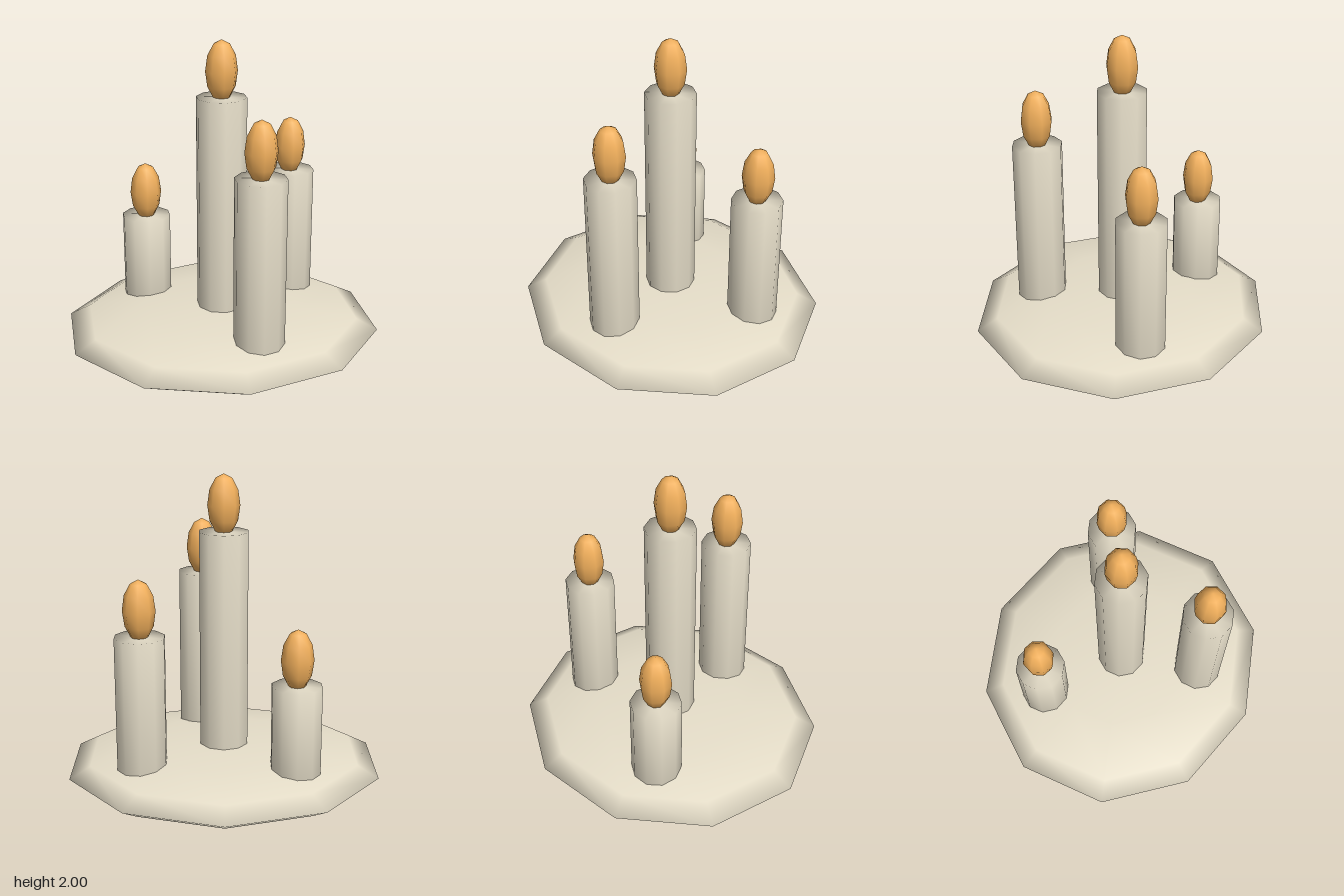
import * as THREE from 'three';

const wax = new THREE.MeshStandardMaterial({ color: 0xe6dec9 });
const fire = new THREE.MeshStandardMaterial({ color: 0xf2b05c });

// Low-poly ellipsoid with smooth normals and a corner facing +z
function ellipsoid(name, material, sides, rx, ry, rz) {
  const geometry = new THREE.SphereGeometry(1, sides, 6).rotateY(Math.PI / 2).scale(rx, ry, rz);
  const mesh = new THREE.Mesh(geometry, material);
  mesh.name = name;
  return mesh;
}

// Ten-sided wax pillar, shaded softly over its rims, with a flame on top
function candle(x, z, top) {
  const group = new THREE.Group();
  group.name = 'candle';
  const radius = 0.157, base = 0.15;
  const profile = [[0, base], [radius, base], [radius, top], [0, top]]
    .map(([r, y]) => new THREE.Vector2(r, y));
  const pillar = new THREE.Mesh(new THREE.LatheGeometry(profile, 10), wax);
  pillar.name = 'candlePillar';
  const flame = ellipsoid('flame', fire, 8, 0.1, 0.19, 0.1);
  flame.position.y = top + 0.16;
  group.add(pillar, flame);
  group.position.set(x, 0, z);
  return group;
}

export function createModel() {
  const model = new THREE.Group();
  model.name = 'candlePlate';

  // Flattened ten-sided plate
  const plate = ellipsoid('plate', wax, 10, 1.01, 0.145, 0.94);
  plate.position.y = 0.145;
  model.add(plate);

  // Four candles: x, z, height of the wax top
  for (const [x, z, top] of [
    [0, 0, 1.65],
    [0.14, 0.505, 1.29],
    [0.505, -0.295, 1.07],
    [-0.435, -0.37, 0.785],
  ]) model.add(candle(x, z, top));

  return model;
}
